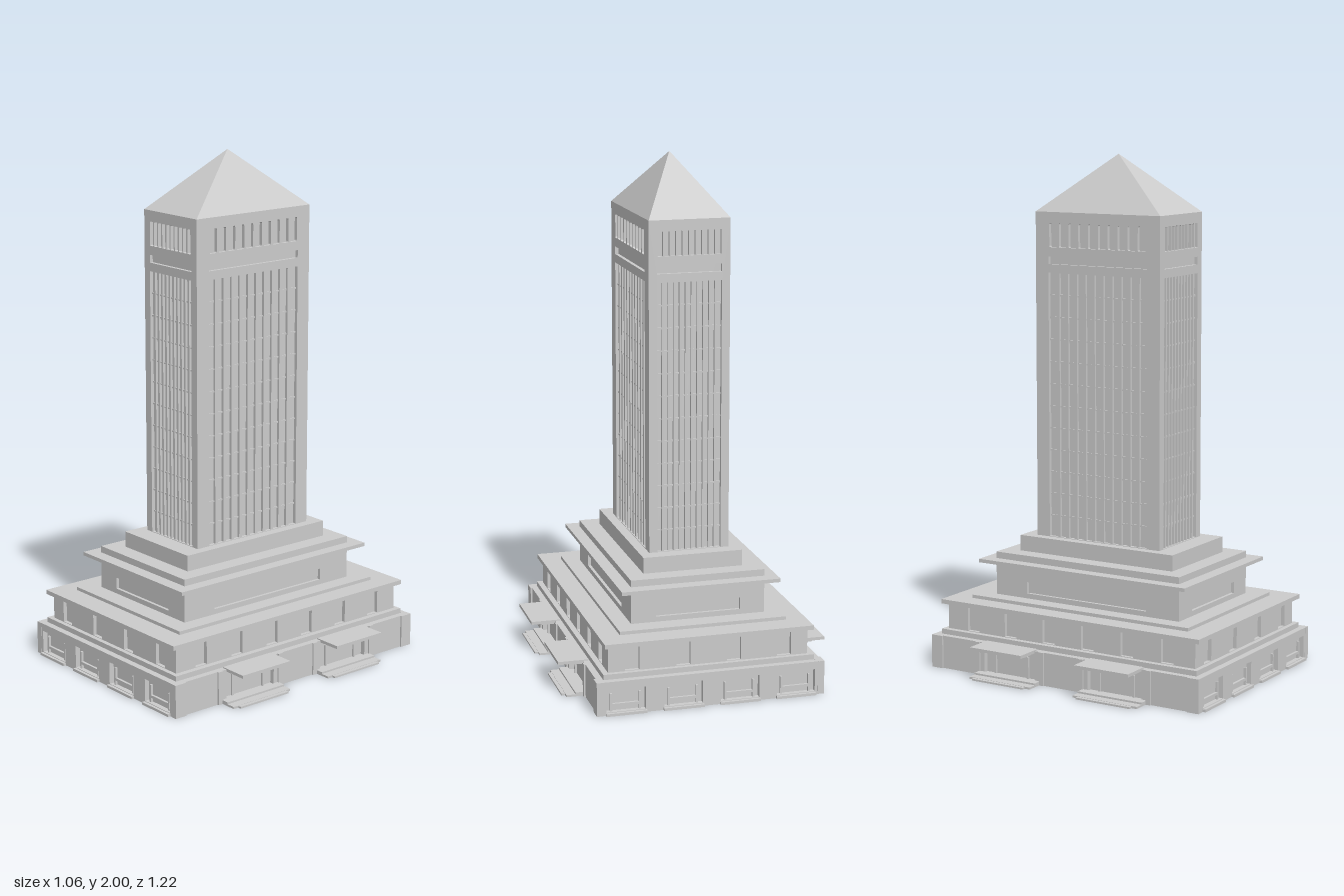
import * as THREE from 'three';

const material = new THREE.MeshStandardMaterial({ color: 0xcccccc, flatShading: true, side: THREE.DoubleSide });

function add(parent, geometry, name) {
  const mesh = new THREE.Mesh(geometry, material);
  mesh.name = name;
  parent.add(mesh);
  return mesh;
}

// Box given by its centre in x and z and its bottom and top heights
function block(parent, name, w, d, y0, y1, x = 0, z = 0) {
  const mesh = add(parent, new THREE.BoxGeometry(w, y1 - y0, d), name);
  mesh.position.set(x, (y0 + y1) / 2, z);
  return mesh;
}

// Evenly spaced window openings: [centre, bottom, width, height, rounded]
function row(centres, y0, y1, width, corner = 0) {
  return centres.map(c => ({ c, y0, y1, width, corner }));
}

function spread(count, pitch) {
  return Array.from({ length: count }, (_, i) => (i - (count - 1) / 2) * pitch);
}

function openingPath({ c, y0, y1, width, corner }) {
  const p = new THREE.Path(), l = c - width / 2, r = c + width / 2, k = corner;
  p.moveTo(l + k, y0);
  p.lineTo(r - k, y0);
  if (k) p.quadraticCurveTo(r, y0, r, y0 + k);
  p.lineTo(r, y1 - k);
  if (k) p.quadraticCurveTo(r, y1, r - k, y1);
  p.lineTo(l + k, y1);
  if (k) p.quadraticCurveTo(l, y1, l, y1 - k);
  p.lineTo(l, y0 + k);
  if (k) p.quadraticCurveTo(l, y0, l + k, y0);
  return p;
}

// Wall panel with openings, its outer face at z = 0
function panel(parent, width, y0, y1, depth, openings) {
  const s = new THREE.Shape();
  s.moveTo(-width / 2, y0);
  s.lineTo(width / 2, y0);
  s.lineTo(width / 2, y1);
  s.lineTo(-width / 2, y1);
  s.closePath();
  s.holes = openings.map(openingPath);
  const g = new THREE.ExtrudeGeometry(s, { depth, bevelEnabled: false, curveSegments: 3 });
  return add(parent, g.translate(0, 0, -depth), 'wall');
}

// Four walls with recessed openings; detail(face, width, isFront) adds parts to each face
function storey(parent, name, o) {
  const { w, d, y0, y1, depth, front, side, hollow, detail } = o;
  const group = new THREE.Group();
  group.name = name;
  group.position.z = o.z || 0;
  for (let i = 0; i < 4; i++) {
    const isFront = i % 2 === 0;
    const width = isFront ? w : d - 2 * depth;
    const face = new THREE.Group();
    face.name = ['frontFace', 'leftFace', 'backFace', 'rightFace'][i];
    face.rotation.y = i * Math.PI / 2;
    const out = (isFront ? d : w) / 2;
    face.position.set(Math.sin(face.rotation.y) * out, 0, Math.cos(face.rotation.y) * out);
    panel(face, width, y0, y1, depth, isFront ? front : side);
    if (hollow) block(face, 'recessBack', width - 0.01, 0.004, y0, y1, 0, -depth - 0.002);
    if (detail) detail(face, isFront);
    group.add(face);
  }
  if (hollow) block(group, 'ceiling', w - 0.01, d - 0.01, y1 - 0.008, y1 - 0.001);
  else block(group, 'core', w - 2 * depth, d - 2 * depth, y0, y1);
  parent.add(group);
}

export function createModel() {
  const model = new THREE.Group();
  model.name = 'towerBuilding';

  // Ground storey, open underneath
  const bays = spread(4, 0.22), porches = [-0.237, 0.237];
  storey(model, 'groundStorey', {
    w: 0.87, d: 1.2, y0: 0, y1: 0.13, depth: 0.02, hollow: true,
    front: row(bays, 0.012, 0.1, 0.15),
    side: row(porches, 0.012, 0.112, 0.235),
    detail(face, isFront) {
      if (isFront) {
        for (const x of bays) {
          block(face, 'windowSill', 0.156, 0.03, 0, 0.01, x, -0.003);
          block(face, 'windowRail', 0.11, 0.01, 0.03, 0.04, x, -0.015);
          for (const s of [-1, 1]) block(face, 'windowJamb', 0.008, 0.01, 0.012, 0.08, x + s * 0.055, -0.015);
        }
        return;
      }
      // Entrance porches with canopy, steps and pilasters
      for (const x of porches) {
        block(face, 'canopy', 0.235, 0.115, 0.122, 0.134, x, 0.038);
        block(face, 'canopySoffit', 0.2, 0.07, 0.112, 0.122, x, 0.015);
        block(face, 'lowerStep', 0.28, 0.07, 0, 0.008, x, 0.035);
        block(face, 'stepNose', 0.235, 0.085, 0, 0.007, x, 0.042);
        block(face, 'upperStep', 0.28, 0.035, 0.008, 0.015, x, 0.0175);
        block(face, 'doorRail', 0.15, 0.008, 0.09, 0.097, x, -0.016);
        for (const s of [-1, 1]) {
          block(face, 'pilaster', 0.022, 0.02, 0, 0.13, x + s * 0.148, -0.004);
          block(face, 'doorJamb', 0.008, 0.008, 0.012, 0.097, x + s * 0.075, -0.016);
        }
      }
    },
  });
  for (const x of [-1, 1]) for (const z of [-1, 1]) {
    block(model, 'cornerPier', 0.025, 0.05, 0, 0.13, x * 0.4295, z * 0.576);
  }

  // Second storey with its plinth and overhanging slab
  block(model, 'secondPlinth', 0.82, 1.148, 0.13, 0.15);
  storey(model, 'secondStorey', {
    w: 0.776, d: 1.112, y0: 0.15, y1: 0.25, depth: 0.015,
    front: row(spread(4, 0.197), 0.152, 0.243, 0.055),
    side: row(spread(6, 0.175), 0.152, 0.243, 0.055),
  });
  block(model, 'lowerSlab', 0.81, 1.16, 0.25, 0.267);
  block(model, 'lowerSlabStep', 0.65, 0.976, 0.267, 0.28);

  // Third storey with a long recessed strip per side
  storey(model, 'thirdStorey', {
    w: 0.524, d: 0.828, y0: 0.28, y1: 0.41, depth: 0.012,
    front: row([0], 0.3, 0.345, 0.33),
    side: row([0], 0.3, 0.345, 0.54),
  });
  block(model, 'upperSlab', 0.62, 0.93, 0.41, 0.424);
  block(model, 'towerBaseStep', 0.524, 0.828, 0.424, 0.45);
  block(model, 'towerBase', 0.39, 0.69, 0.45, 0.512);

  // Tower shaft: tall glazed recess with fins, slot and top windows on each face
  const y0 = 0.51, y1 = 1.78, glassTop = 1.547, floors = 12, columns = 11;
  const openings = w => [
    ...row([0], y0 + 0.004, glassTop, w),
    ...row([0], 1.58, 1.61, w),
    ...row(spread(10, w / 10), 1.645, 1.738, w * 0.08, w * 0.012),
  ];
  storey(model, 'towerShaft', {
    w: 0.314, d: 0.555, y0, y1, z: -0.012, depth: 0.014,
    front: openings(0.25), side: openings(0.44),
    detail(face, isFront) {
      const w = isFront ? 0.25 : 0.44, pitch = w / columns;
      for (const x of spread(columns - 1, pitch)) {
        block(face, 'fin', pitch * 0.35, 0.01, y0, glassTop, x, -0.009);
      }
      for (let i = 1; i < floors; i++) {
        const y = y0 + i * (glassTop - y0) / floors;
        block(face, 'floorBand', w, 0.005, y - 0.003, y + 0.003, 0, -0.0115);
      }
    },
  });

  // Pyramid roof
  const roof = new THREE.ConeGeometry(Math.SQRT1_2, 1, 4, 1).rotateY(Math.PI / 4);
  roof.scale(0.314, 0.22, 0.555).translate(0, 1.89, -0.012);
  add(model, roof, 'pyramidRoof');

  return model;
}
